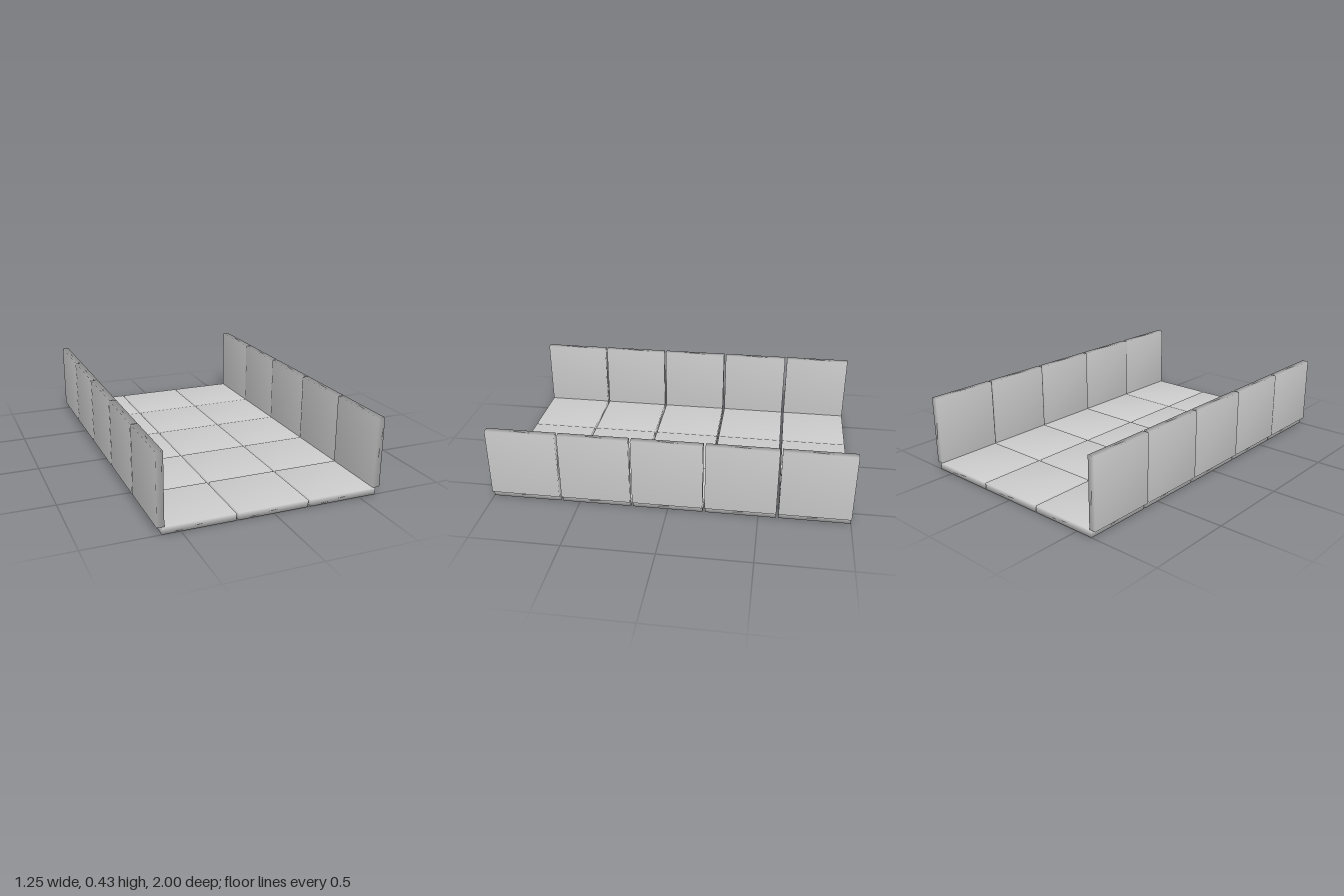
import * as THREE from 'three';
import { mergeVertices } from 'three/addons/utils/BufferGeometryUtils.js';

const SIZE = 0.39, THICK = 0.039, PITCH = 0.4025;

// Thin square slab whose normals are shared across its edges
function slabGeometry(w, h, d) {
  const box = new THREE.BoxGeometry(w, h, d);
  box.deleteAttribute('normal');
  box.deleteAttribute('uv');
  const geometry = mergeVertices(box);
  geometry.computeVertexNormals();
  return geometry;
}

export function createModel() {
  const model = new THREE.Group();
  model.name = 'tiledChannel';
  const material = new THREE.MeshStandardMaterial({ color: 0xcccccc });
  const floorGeometry = slabGeometry(SIZE, THICK, SIZE);
  const wallGeometry = slabGeometry(THICK, SIZE, SIZE);

  const floor = new THREE.Group();
  floor.name = 'floor';
  const leftWall = new THREE.Group();
  leftWall.name = 'leftWall';
  const rightWall = new THREE.Group();
  rightWall.name = 'rightWall';
  model.add(floor, leftWall, rightWall);

  function addSlab(parent, name, geometry, x, y, z) {
    const mesh = new THREE.Mesh(geometry, material);
    mesh.name = name;
    mesh.position.set(x, y, z);
    parent.add(mesh);
  }

  // Five rows: three floor tiles and one panel on each side
  for (let row = -2; row <= 2; row++) {
    const z = row * PITCH;
    for (let col = -1; col <= 1; col++) {
      addSlab(floor, 'floorTile', floorGeometry, col * PITCH, THICK / 2, z);
    }
    const wallY = THICK + 0.001 + SIZE / 2;
    addSlab(leftWall, 'wallPanel', wallGeometry, 1.5 * PITCH, wallY, z);
    addSlab(rightWall, 'wallPanel', wallGeometry, -1.5 * PITCH, wallY, z);
  }
  return model;
}
